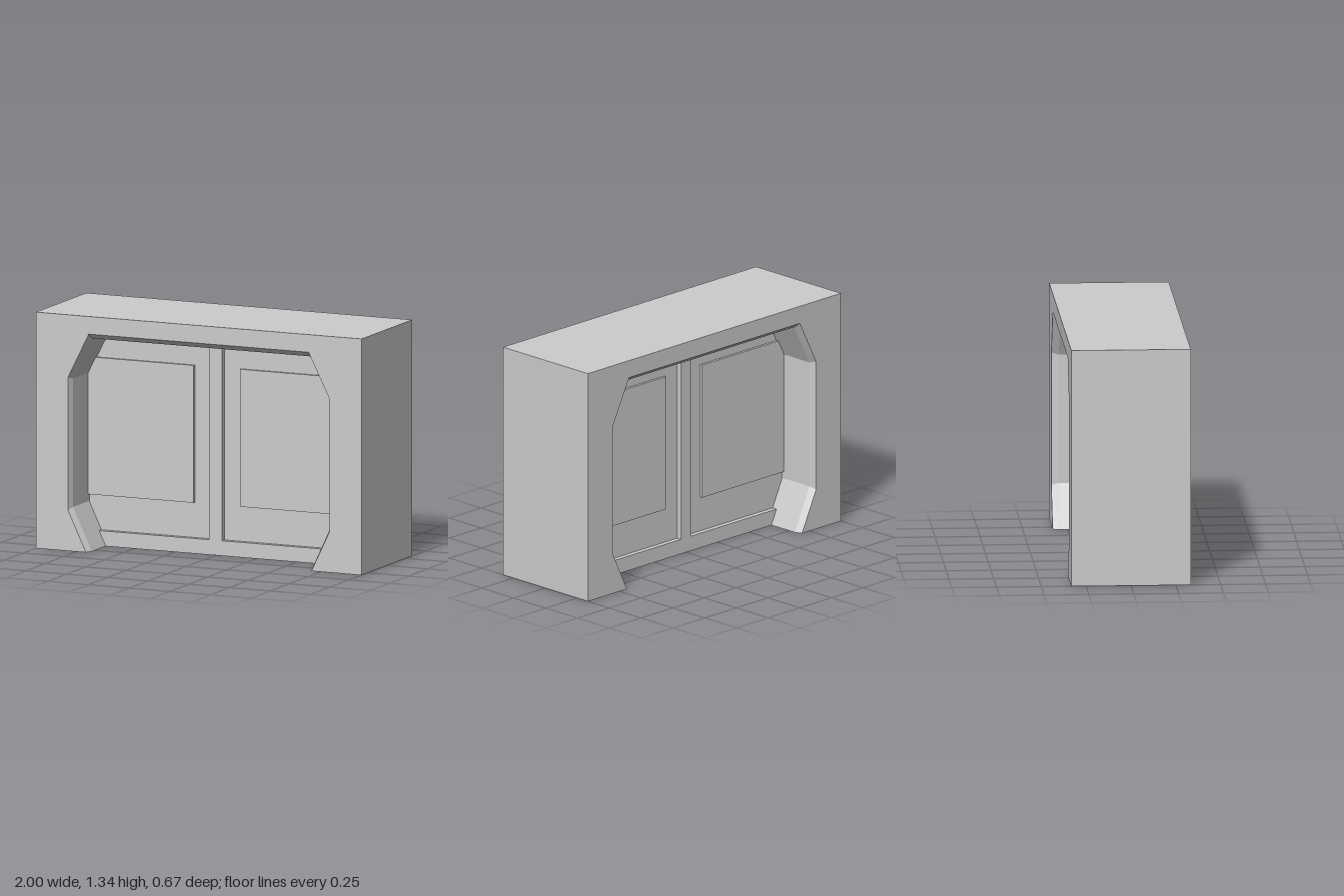
import * as THREE from 'three';

const W = 1, H = 1.335, D = 0.333;   // half width, height, half depth
const FLOOR = 0.08, RAIL = 0.11, PANEL = 0.095, BEVEL = 0.293; // z levels

const material = new THREE.MeshStandardMaterial({ color: 0xcccccc, flatShading: true });

// Arch outline with chamfered opening, counter-clockwise seen from +z
function archOutline(half) {
  const left = half.map(([x, y]) => [-x, y]);
  const right = [...half].reverse();
  return [[-W, 0], ...left, ...right, [W, 0], [W, H], [-W, H]];
}

// Walls between successive outlines, each given as { pts, z }
function loft(sections) {
  const pos = [];
  for (let s = 0; s < sections.length - 1; s++) {
    const a = sections[s], b = sections[s + 1], n = a.pts.length;
    for (let i = 0; i < n; i++) {
      const j = (i + 1) % n;
      const a0 = [...a.pts[i], a.z], a1 = [...a.pts[j], a.z];
      const b0 = [...b.pts[i], b.z], b1 = [...b.pts[j], b.z];
      pos.push(...a0, ...a1, ...b1, ...a0, ...b1, ...b0);
    }
  }
  const g = new THREE.BufferGeometry();
  g.setAttribute('position', new THREE.Float32BufferAttribute(pos, 3));
  g.computeVertexNormals();
  return g;
}

function add(parent, name, geometry) {
  const m = new THREE.Mesh(geometry, material);
  m.name = name;
  parent.add(m);
  return m;
}

function addBox(parent, name, x0, x1, y0, y1, z0, z1) {
  const m = add(parent, name, new THREE.BoxGeometry(x1 - x0, y1 - y0, z1 - z0));
  m.position.set((x0 + x1) / 2, (y0 + y1) / 2, (z0 + z1) / 2);
}

function createFace(name) {
  const face = new THREE.Group();
  face.name = name;

  // Deep surround with a small bevel at the mouth
  const inner = archOutline([[0.675, 0], [0.79, 0.243], [0.79, 0.97], [0.67, 1.205]]);
  const outer = archOutline([[0.692, 0], [0.803, 0.23], [0.803, 0.98], [0.675, 1.235]]);
  add(face, 'surroundWalls', loft([
    { pts: inner, z: FLOOR }, { pts: inner, z: BEVEL }, { pts: outer, z: D },
  ]));
  const shape = new THREE.Shape(outer.map(([x, y]) => new THREE.Vector2(x, y)));
  add(face, 'surroundFront', new THREE.ShapeGeometry(shape)).position.z = D;

  // Rail and mullion standing in front of the recessed floor
  addBox(face, 'bottomRail', -0.74, 0.74, 0, 0.085, FLOOR, RAIL);
  addBox(face, 'mullion', -0.04, 0.04, 0.085, 1.21, FLOOR, RAIL);

  // Raised panels, running into the surround at the sides
  for (const s of [-1, 1]) {
    const xs = [s * 0.142, s * 0.8].sort((a, b) => a - b);
    addBox(face, s < 0 ? 'rightPanel' : 'leftPanel', xs[0], xs[1], 0.283, 1.06, FLOOR, PANEL);
  }
  return face;
}

export function createModel() {
  const model = new THREE.Group();
  model.name = 'panelledWall';
  addBox(model, 'core', -W, W, 0, H, -FLOOR, FLOOR);
  const back = createFace('backFace');
  back.rotation.y = Math.PI;
  model.add(createFace('frontFace'), back);
  return model;
}
